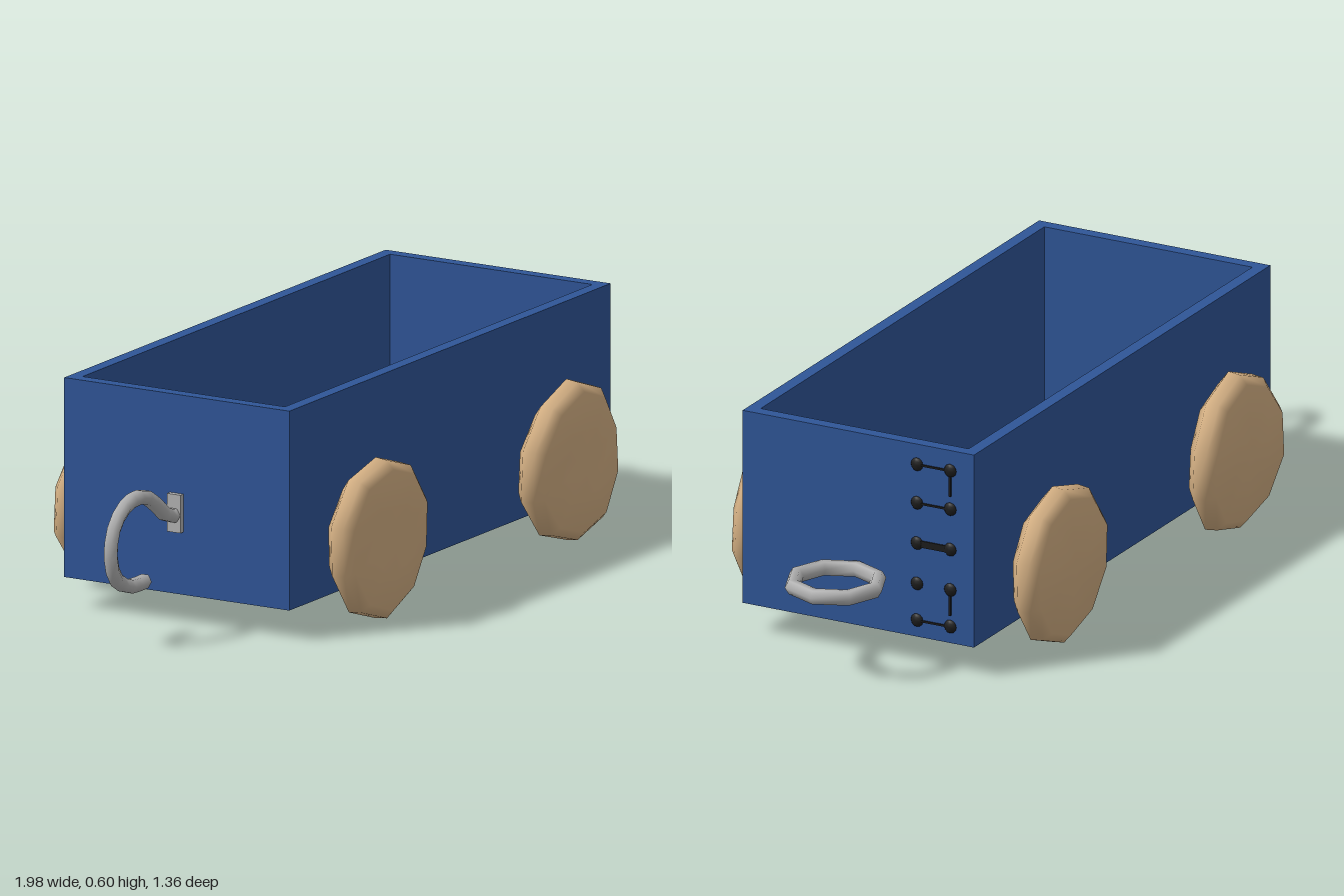
import * as THREE from 'three';
import { mergeVertices } from 'three/addons/utils/BufferGeometryUtils.js';

const L = 1.57, W = 0.674, BOTTOM = 0.09, TOP = 0.615, WALL = 0.034;

function material(name, color, side = THREE.FrontSide) {
  const m = new THREE.MeshStandardMaterial({ color, side });
  m.name = name;
  return m;
}

function rectangle(path, w, h) {
  path.moveTo(-w / 2, -h / 2);
  path.lineTo(w / 2, -h / 2);
  path.lineTo(w / 2, h / 2);
  path.lineTo(-w / 2, h / 2);
  path.closePath();
  return path;
}

// Slightly lumpy hand-carved disc with its outer face towards +z
function wheelGeometry(phase) {
  const profile = [[0, -0.05], [0.17, -0.045], [0.212, -0.012], [0.208, 0.022], [0.185, 0.042], [0.09, 0.05], [0, 0.054]];
  const lathe = new THREE.LatheGeometry(profile.map(([r, y]) => new THREE.Vector2(r, y)), 10);
  lathe.deleteAttribute('uv');
  lathe.deleteAttribute('normal');
  const geo = mergeVertices(lathe, 1e-4);
  const p = geo.attributes.position;
  for (let i = 0; i < p.count; i++) {
    const x = p.getX(i), y = p.getY(i), z = p.getZ(i);
    const a = Math.atan2(z, x);
    const k = 1 + 0.02 * Math.sin(3 * a + phase);
    const lump = Math.hypot(x, z) > 0.01 ? 0.005 * Math.sin(2 * a + phase * 2) : 0;
    p.setXYZ(i, x * k, y + lump, z * k);
  }
  geo.rotateX(Math.PI / 2);
  geo.computeVertexNormals();
  return geo;
}

export function createModel() {
  const blue = material('blue paint', 0x2f5597);
  const wood = material('tan wood', 0xd2ae82);
  const metal = material('grey metal', 0xb2b2b2, THREE.DoubleSide);
  const dark = material('dark iron', 0x1c1c1c);

  const model = new THREE.Group();
  model.name = 'wagon';
  // The whole wagon stands diagonally
  const wagon = new THREE.Group();
  wagon.name = 'turnedWagon';
  wagon.position.set(0.03, 0, -0.003);
  wagon.rotation.y = 0.434;
  model.add(wagon);

  function add(name, geo, mat, x = 0, y = 0, z = 0, parent = wagon) {
    const m = new THREE.Mesh(geo, mat);
    m.name = name;
    m.position.set(x, y, z);
    parent.add(m);
    return m;
  }

  // Open box: wall frame and floor
  const frame = rectangle(new THREE.Shape(), L, W);
  frame.holes.push(rectangle(new THREE.Path(), L - 2 * WALL, W - 2 * WALL));
  const walls = new THREE.ExtrudeGeometry(frame, { depth: TOP - BOTTOM, bevelEnabled: false });
  walls.rotateX(-Math.PI / 2);
  add('walls', walls, blue, 0, BOTTOM, 0);
  add('floor', new THREE.BoxGeometry(L - 2 * WALL, 0.035, W - 2 * WALL), blue, 0, BOTTOM + 0.0175, 0);

  // Four wheels
  let phase = 0.6;
  for (const sx of [-1, 1]) {
    for (const sz of [-1, 1]) {
      const wheel = add('wheel', wheelGeometry(phase), wood, sx * 0.466, 0.225, sz * 0.407);
      if (sz < 0) wheel.rotation.y = Math.PI;
      phase += 1.7;
    }
  }

  // Flat coupling ring at the +x end
  const ring = new THREE.TorusGeometry(0.114, 0.021, 6, 8);
  ring.rotateX(Math.PI / 2);
  add('couplingRing', ring, metal, 0.915, 0.25, -0.005);

  // Upright coupling hook at the -x end
  const hookPoints = [
    [-0.775, 0.3], [-0.83, 0.305], [-0.885, 0.345], [-0.945, 0.38], [-1.025, 0.378],
    [-1.086, 0.335], [-1.108, 0.265], [-1.085, 0.195], [-1.02, 0.16], [-0.94, 0.157],
  ].map(([x, y]) => new THREE.Vector3(x, y, 0));
  const hookCurve = new THREE.CatmullRomCurve3(hookPoints);
  add('couplingHook', new THREE.TubeGeometry(hookCurve, 18, 0.02, 6), metal);
  const hookEnd = new THREE.CircleGeometry(0.02, 6);
  hookEnd.rotateY(Math.PI / 2);
  add('hookEnd', hookEnd, metal, -0.94, 0.157, 0);
  add('hookPlate', new THREE.BoxGeometry(0.02, 0.1, 0.04), metal, -0.79, 0.305, 0);

  // Ladder fittings half sunk into the +x end
  const ladder = new THREE.Group();
  ladder.name = 'ladder';
  wagon.add(ladder);
  const rows = [0.135, 0.235, 0.345, 0.455, 0.56];
  const posts = [-0.171, -0.268];
  for (const y of rows) {
    for (const z of posts) {
      const knob = add('ladderKnob', new THREE.SphereGeometry(0.018, 8, 6), dark, L / 2, y, z, ladder);
      knob.scale.x = 0.5;
    }
    if (y !== 0.235) {
      const t = y === 0.345 ? 0.018 : 0.005;
      add('ladderRung', new THREE.BoxGeometry(0.008, t, 0.097), dark, L / 2, y, -0.2195, ladder);
    }
  }
  for (const y of [0.2, 0.525]) {
    add('ladderRail', new THREE.BoxGeometry(0.008, 0.07, 0.006), dark, L / 2, y, posts[1], ladder);
  }

  return model;
}
